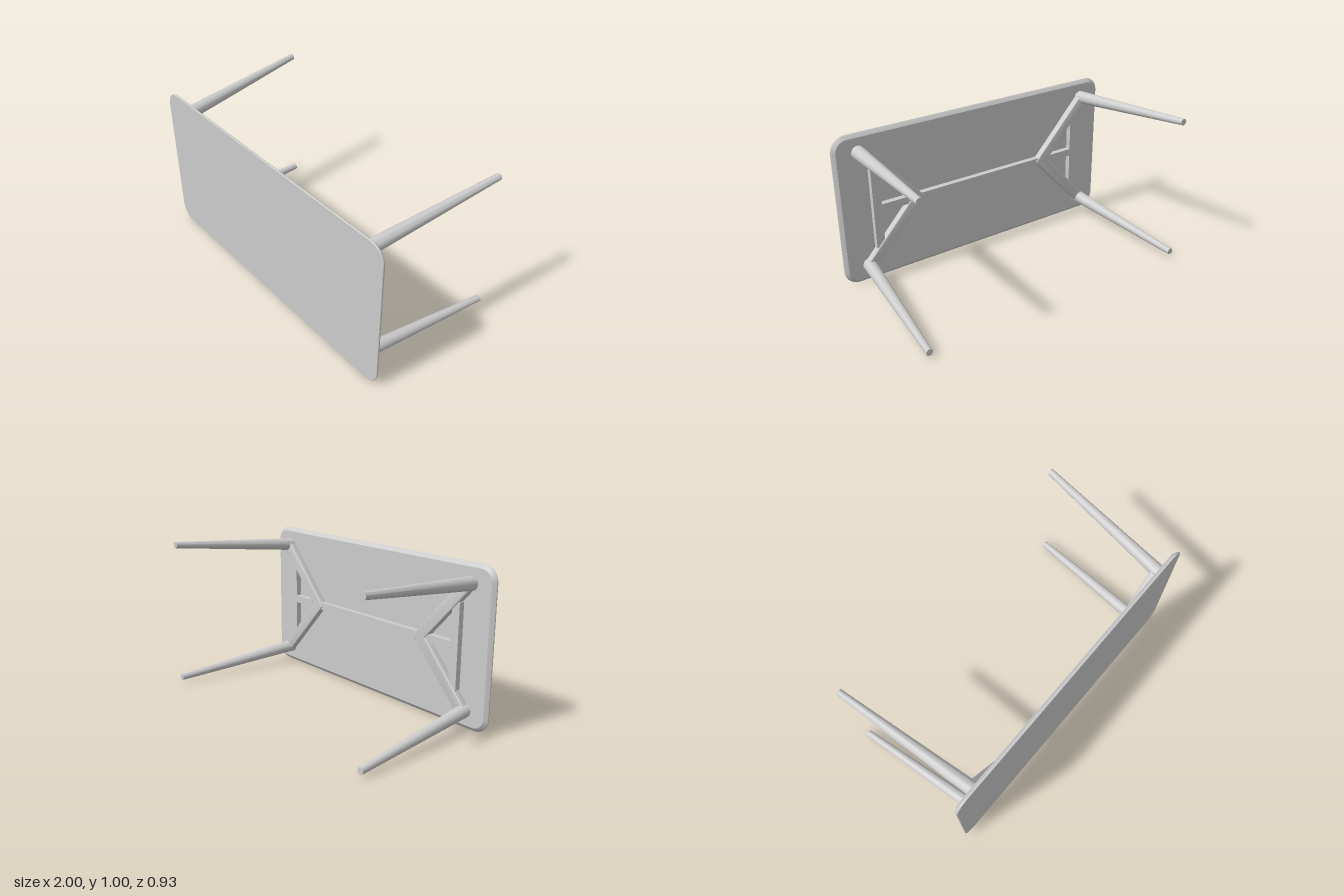
import * as THREE from 'three';
import { toCreasedNormals } from 'three/addons/utils/BufferGeometryUtils.js';

const material = new THREE.MeshStandardMaterial({ color: 0xcccccc });
const MID_Y = 0.5;

// Closed solid through convex rings ordered from back (-z) to front (+z),
// each ring counter-clockwise as seen from the front.
function loft(rings) {
  const n = rings[0].length;
  const positions = [];
  const index = [];
  rings.forEach((ring) => ring.forEach((p) => positions.push(p.x, p.y, p.z)));
  for (let r = 0; r < rings.length - 1; r++) {
    for (let i = 0; i < n; i++) {
      const j = (i + 1) % n;
      const a = r * n + i, b = r * n + j;
      index.push(a, b, b + n, a, b + n, a + n);
    }
  }
  const last = (rings.length - 1) * n;
  for (let i = 1; i < n - 1; i++) {
    index.push(0, i + 1, i);
    index.push(last, last + i, last + i + 1);
  }
  const geometry = new THREE.BufferGeometry();
  geometry.setAttribute('position', new THREE.Float32BufferAttribute(positions, 3));
  geometry.setIndex(index);
  return toCreasedNormals(geometry, 0.5);
}

function circleRing(x, y, z, radius, sides = 32) {
  return Array.from({ length: sides }, (_, i) => {
    const a = (i / sides) * Math.PI * 2;
    return new THREE.Vector3(x + radius * Math.cos(a), y + radius * Math.sin(a), z);
  });
}

function roundedRectRing(z, inset, cornerRadius = 0.1, steps = 10) {
  const radius = cornerRadius - inset;
  const cx = 1 - cornerRadius, cy = 0.5 - cornerRadius;
  const ring = [];
  [[1, 1], [-1, 1], [-1, -1], [1, -1]].forEach(([sx, sy], corner) => {
    for (let i = 0; i <= steps; i++) {
      const a = (corner + i / steps) * Math.PI / 2;
      ring.push(new THREE.Vector3(
        sx * cx + radius * Math.cos(a), MID_Y + sy * cy + radius * Math.sin(a), z));
    }
  });
  return ring;
}

// V-shaped brace pointing at the middle of the table; side is +1 or -1.
function braceGeometry(side) {
  const bevel = 0.01;
  const half = 0.037 - bevel;
  const apex = new THREE.Vector2(0.485, 0);
  const knee = new THREE.Vector2(0.838, 0.383);
  const dir = knee.clone().sub(apex).normalize();
  const normal = new THREE.Vector2(dir.y, -dir.x).multiplyScalar(half);
  const reach = half / dir.y;
  const outline = [
    [apex.x - reach, 0],
    [knee.x + normal.x, -knee.y - -normal.y],
  ];
  // Outer point, lower arm end, inner notch, upper arm end
  outline.length = 0;
  outline.push([apex.x - reach, 0]);
  outline.push([knee.x - normal.x, -(knee.y - normal.y)]);
  outline.push([knee.x + normal.x, -(knee.y + normal.y)]);
  outline.push([apex.x + reach, 0]);
  outline.push([knee.x + normal.x, knee.y + normal.y]);
  outline.push([knee.x - normal.x, knee.y - normal.y]);
  const shape = new THREE.Shape(outline.map(([x, y]) => new THREE.Vector2(side * x, y)));
  const geometry = new THREE.ExtrudeGeometry(shape, {
    depth: 0.03, bevelEnabled: true, bevelSize: bevel, bevelThickness: bevel, bevelSegments: 4,
  });
  geometry.translate(0, MID_Y, 0.393 + bevel);
  return toCreasedNormals(geometry, 0.6);
}

export function createModel() {
  const model = new THREE.Group();
  model.name = 'table';
  const add = (name, geometry) => {
    const mesh = new THREE.Mesh(geometry, material);
    mesh.name = name;
    model.add(mesh);
    return mesh;
  };

  // Table top with a chamfered underside
  add('tableTop', loft([
    roundedRectRing(0.437, 0.024),
    roundedRectRing(0.452, 0.003),
    roundedRectRing(0.456, 0),
    roundedRectRing(0.462, 0),
    roundedRectRing(0.465, 0.003),
  ]));

  for (const side of [1, -1]) {
    const sideName = side > 0 ? 'left' : 'right';

    // Splayed tapering legs
    for (const end of [1, -1]) {
      add(`${sideName}${end > 0 ? 'Upper' : 'Lower'}Leg`, loft([
        circleRing(side * 0.92, MID_Y + end * 0.462, -0.465, 0.021),
        circleRing(side * 0.838, MID_Y + end * 0.383, 0.44, 0.043),
      ]));
    }

    // Brace joining the two legs, and the cross rail behind it
    add(`${sideName}Brace`, braceGeometry(side));
    add(`${sideName}CrossRail`, new THREE.BoxGeometry(0.056, 0.536, 0.04))
      .position.set(side * 0.762, MID_Y, 0.42);
  }

  // Long stretcher between the cross rails
  add('stretcher', new THREE.BoxGeometry(1.48, 0.05, 0.039)).position.set(0, MID_Y, 0.4185);

  return model;
}
